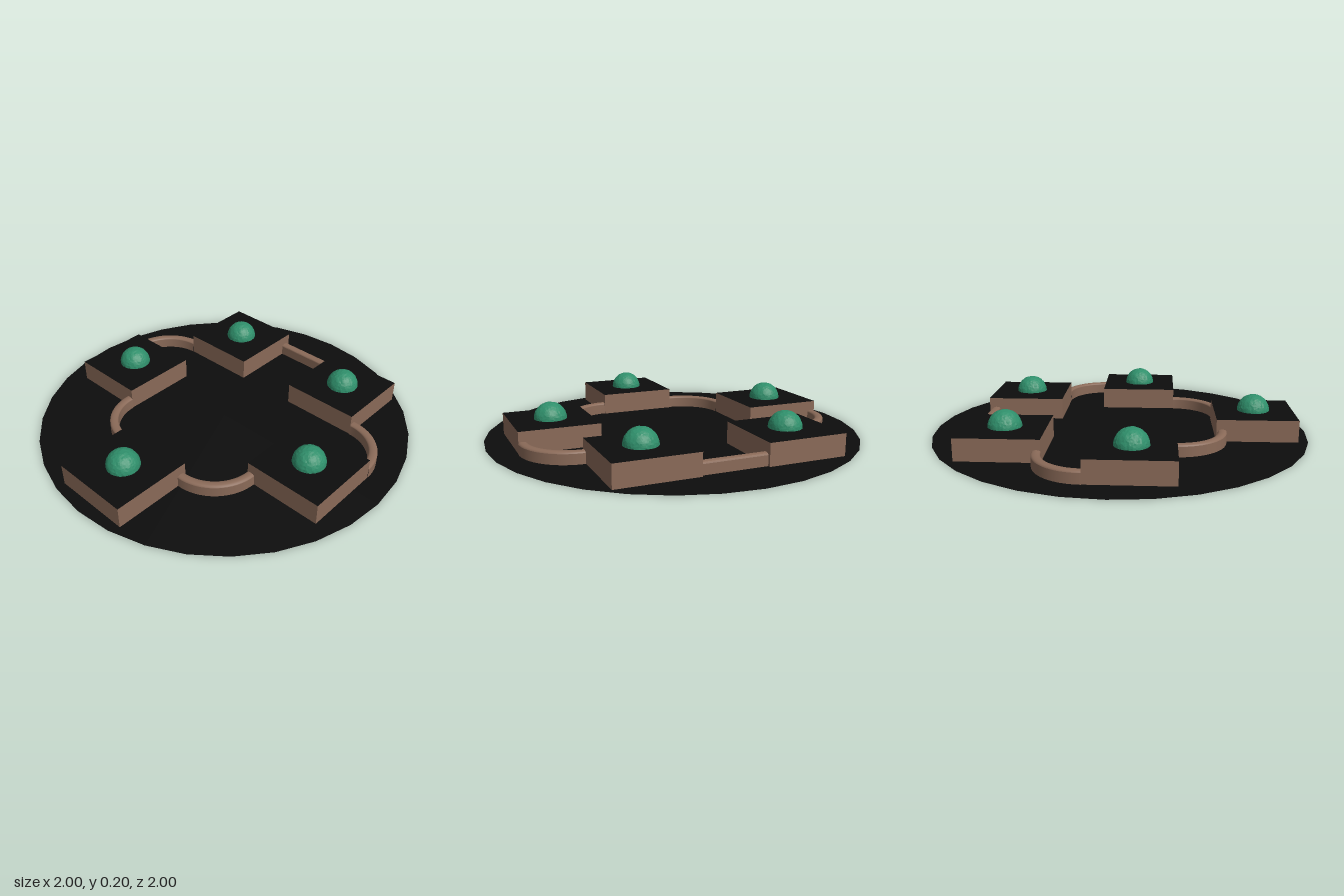
import * as THREE from 'three';

const BROWN = new THREE.MeshStandardMaterial({ color: 0x8a6a58 });
const BROWN2 = new THREE.MeshStandardMaterial({ color: 0x8a6a58, side: THREE.DoubleSide });
const BLACK = new THREE.MeshStandardMaterial({ color: 0x0d0d0d, side: THREE.DoubleSide });
const GREEN = new THREE.MeshStandardMaterial({ color: 0x2f8f6b, flatShading: true });

const SIZE = 0.42, HEIGHT = 0.115, WALL = 0.045;
const H = SIZE / 2;

function add(parent, name, geometry, material, x = 0, y = 0, z = 0) {
  const mesh = new THREE.Mesh(geometry, material);
  mesh.name = name;
  mesh.position.set(x, y, z);
  parent.add(mesh);
  return mesh;
}

// Wall cross-section: straight sides and a softly domed top, from outer foot to inner foot
function wallProfile(outer) {
  const points = [new THREE.Vector2(outer, 0), new THREE.Vector2(outer, 0.053)];
  for (let i = 0; i <= 8; i++) {
    const a = (i / 8) * Math.PI;
    points.push(new THREE.Vector2(outer - WALL / 2 + Math.cos(a) * WALL / 2, 0.053 + Math.sin(a) * 0.011));
  }
  points.push(new THREE.Vector2(outer - WALL, 0));
  return points;
}

// Slightly rough leafy ball; the jitter depends only on position, so the surface stays closed
function bushGeometry(radius) {
  const geometry = new THREE.IcosahedronGeometry(radius, 9);
  const p = geometry.attributes.position;
  const v = new THREE.Vector3();
  for (let i = 0; i < p.count; i++) {
    v.fromBufferAttribute(p, i);
    const [a, b, c] = [v.x, v.y, v.z].map((n) => Math.round(n * 1e4));
    const s = Math.sin(a * 12.99 + b * 78.23 + c * 37.72) * 43758.5;
    v.multiplyScalar(1 - 0.025 * (s - Math.floor(s)));
    p.setXYZ(i, v.x, v.y, v.z);
  }
  geometry.computeVertexNormals();
  return geometry;
}

export function createModel() {
  const model = new THREE.Group();
  model.name = 'planterCircle';

  // Flat round ground
  const disc = new THREE.CircleGeometry(1, 32).rotateX(-Math.PI / 2);
  add(model, 'groundDisc', disc, BLACK);

  const garden = new THREE.Group();
  garden.name = 'garden';
  garden.position.z = 0.01;
  model.add(garden);

  // Five square planters with dark soil tops and a round bush each
  const box = new THREE.BoxGeometry(SIZE, HEIGHT, SIZE);
  const bush = bushGeometry(0.086);
  const sides = [BROWN, BROWN, BLACK, BLACK, BROWN, BROWN];
  for (const [x, z] of [[-0.72, 0], [-0.09, -0.64], [-0.09, 0.64], [0.55, -0.38], [0.55, 0.38]]) {
    const planter = new THREE.Group();
    planter.name = 'planter';
    planter.position.set(x, 0, z);
    add(planter, 'planterBox', box, sides, 0, HEIGHT / 2, 0);
    add(planter, 'bush', bush, GREEN, 0, HEIGHT, 0);
    garden.add(planter);
  }

  // Quarter-round low walls joining neighbouring planters
  const profile = wallProfile(0.262);
  for (const [x, z, quarter] of [
    [-0.09 + H, -0.38 - H, 1], [-0.09 - H, -H, 2],
    [-0.09 - H, H, 3], [-0.09 + H, 0.38 + H, 0],
  ]) {
    const arc = new THREE.LatheGeometry(profile, 16, quarter * Math.PI / 2, Math.PI / 2);
    add(garden, 'curvedWall', arc, BROWN2, x, 0, z);
  }

  // Straight low wall between the two planters on the left
  const length = 2 * (0.38 - H) + 0.01;
  const straight = new THREE.ExtrudeGeometry(new THREE.Shape(wallProfile(WALL / 2)), {
    depth: length, bevelEnabled: false,
  });
  add(garden, 'straightWall', straight, BROWN2, 0.723, 0, -length / 2);

  return model;
}
